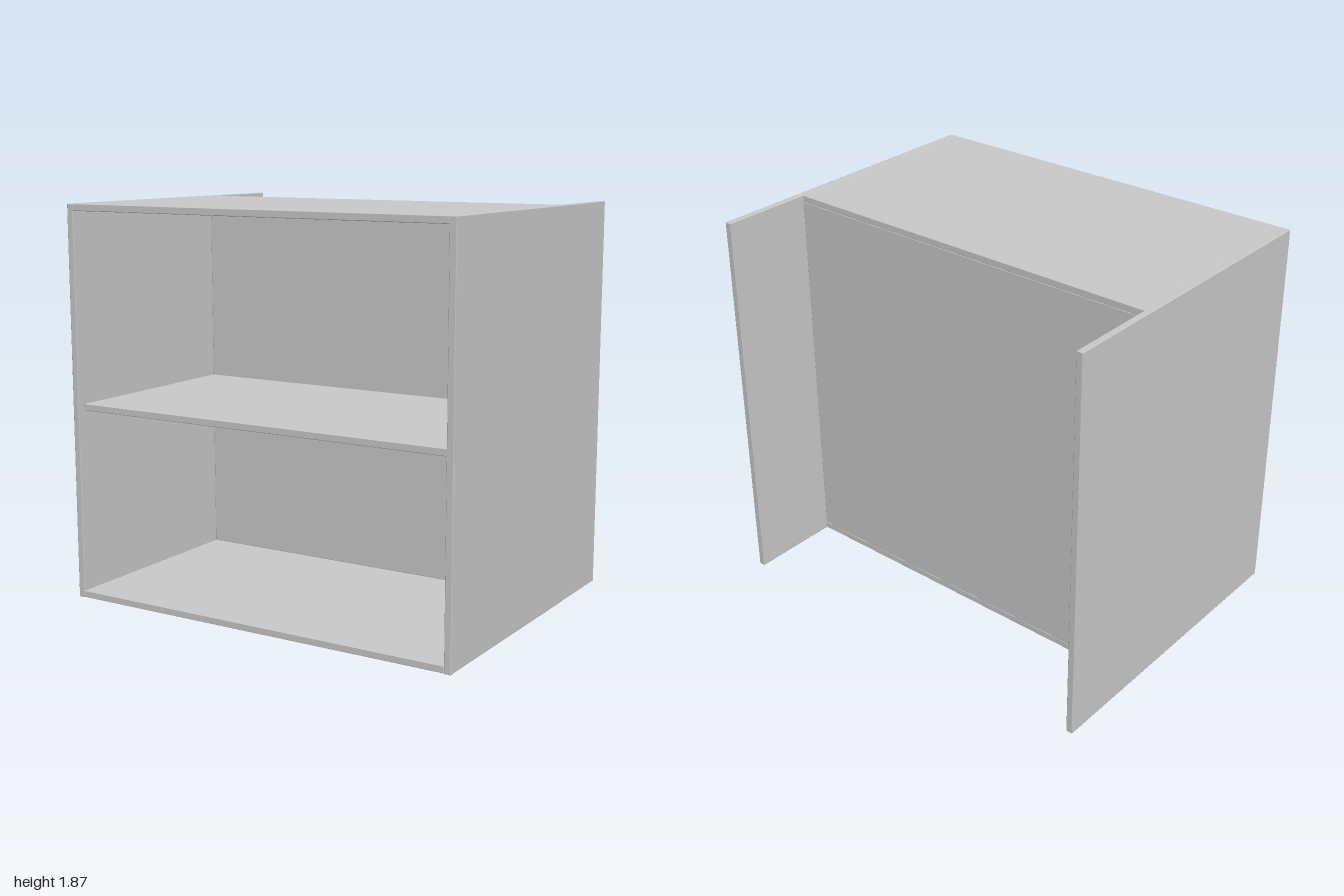
import * as THREE from 'three';
import { RoundedBoxGeometry } from 'three/addons/geometries/RoundedBoxGeometry.js';

export function createModel() {
  const group = new THREE.Group();
  const material = new THREE.MeshStandardMaterial({ color: 0xcccccc });

  const H = 1.87, T = 0.032;         // overall height, board thickness
  const front = 0.766, rear = -0.766; // side panel extent in z
  const backZ = -0.32;               // rear face of the cabinet body
  const inner = 1 - T;               // inner face of the side panels

  // A board with slightly eased edges, given by its min and max corners
  function board(name, min, max) {
    const size = max.map((v, i) => v - min[i]);
    const mesh = new THREE.Mesh(new RoundedBoxGeometry(...size, 1, 0.003), material);
    mesh.position.set(...max.map((v, i) => (v + min[i]) / 2));
    mesh.name = name;
    group.add(mesh);
  }

  // Side panels run on past the back panel
  board('leftSidePanel', [inner, 0, rear], [1, H, front]);
  board('rightSidePanel', [-1, 0, rear], [-inner, H, front]);

  // Top and bottom boards between the sides
  board('topPanel', [-inner, H - T, backZ], [inner, H, front]);
  board('bottomPanel', [-inner, 0.002, backZ], [inner, 0.002 + T, front]);

  // Back panel closes the body, flush with the rear of top and bottom
  board('backPanel', [-inner, 0.002 + T, backZ], [inner, H - T, backZ + T]);

  // Middle shelf, set back a little from the front
  board('shelf', [-inner, 0.904, backZ + T], [inner, 0.904 + T, front - 0.04]);

  return group;
}
